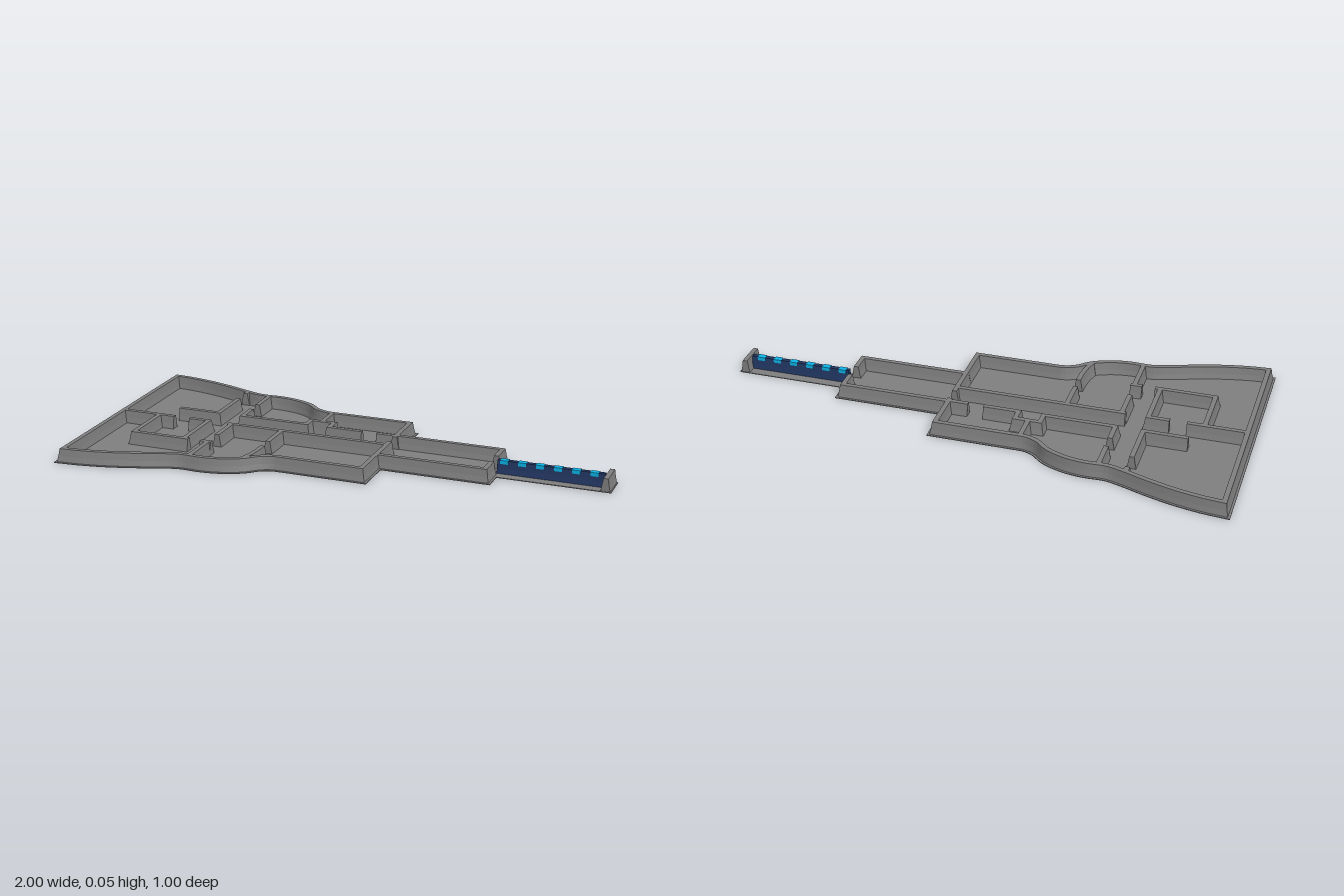
import * as THREE from 'three';

const HEIGHT = 0.052;
const FLOOR = 0.003;

// Mitred sideways direction at every point of a plan path of [x, z] pairs
function sideways(path) {
  const normal = (p, q) => {
    const l = Math.hypot(q[0] - p[0], q[1] - p[1]);
    return [(q[1] - p[1]) / l, -(q[0] - p[0]) / l];
  };
  return path.map((p, i) => {
    const a = normal(path[Math.max(i - 1, 0)], path[Math.max(i, 1)]);
    const last = path.length - 1;
    const b = normal(path[Math.min(i, last - 1)], path[Math.min(i + 1, last)]);
    const k = 1 + a[0] * b[0] + a[1] * b[1];
    return [(a[0] + b[0]) / k, (a[1] + b[1]) / k];
  });
}

// Tapered wall section: sideways offset and height
const SECTION = [[-0.018, 0.002], [-0.013, 0.024], [-0.009, HEIGHT], [0.009, HEIGHT], [0.013, 0.024], [0.018, 0.002]];

// Sweep the wall section along a path and cap both ends
function wallGeometry(path) {
  const side = sideways(path);
  const m = SECTION.length;
  const pos = [], idx = [];
  path.forEach((p, i) => SECTION.forEach(([o, y]) =>
    pos.push(p[0] + side[i][0] * o, y, p[1] + side[i][1] * o)));
  for (let i = 0; i < path.length - 1; i++) {
    for (let j = 0; j < m - 1; j++) {
      const a = i * m + j, b = a + 1, c = a + m, d = c + 1;
      idx.push(a, c, b, b, c, d);
    }
  }
  const e = (path.length - 1) * m;
  for (let j = 1; j < m - 1; j++) idx.push(0, j, j + 1, e, e + j + 1, e + j);
  const indexed = new THREE.BufferGeometry();
  indexed.setAttribute('position', new THREE.Float32BufferAttribute(pos, 3));
  indexed.setIndex(idx);
  const g = indexed.toNonIndexed();
  g.computeVertexNormals();
  return g;
}

export function createModel() {
  const model = new THREE.Group();
  const stone = new THREE.MeshStandardMaterial({ color: 0x808080 });
  stone.name = 'stone grey';
  const navy = new THREE.MeshStandardMaterial({ color: 0x203560 });
  navy.name = 'navy blue';
  const cyan = new THREE.MeshStandardMaterial({ color: 0x0cb4e8 });
  cyan.name = 'bright cyan';

  const add = (name, geometry, material, parent = model) => {
    const mesh = new THREE.Mesh(geometry, material);
    mesh.name = name;
    parent.add(mesh);
    return mesh;
  };

  // Half of the outer wall, then its mirror image
  const curve = new THREE.CatmullRomCurve3([
    [-0.17, -0.262], [-0.215, -0.264], [-0.26, -0.282], [-0.31, -0.325], [-0.38, -0.355],
    [-0.45, -0.367], [-0.54, -0.366], [-0.6, -0.382], [-0.7, -0.417], [-0.8, -0.446],
    [-0.9, -0.465], [-0.972, -0.472],
  ].map(([x, z]) => new THREE.Vector3(x, 0, z)));
  const half = [[0.55, -0.03], [0.55, -0.108], [0.132, -0.108], [0.132, -0.262],
    ...curve.getSpacedPoints(48).map(v => [v.x, v.z])];
  const outer = [...half, ...half.map(([x, z]) => [x, -z]).reverse()];
  add('outerWall', wallGeometry(outer), stone);

  // Floor reaching a little beyond the outer wall
  const side = sideways(outer);
  const outline = outer.map((p, i) =>
    new THREE.Vector2(p[0] - side[i][0] * 0.026, -(p[1] - side[i][1] * 0.026)));
  const floor = new THREE.ExtrudeGeometry(new THREE.Shape(outline), { depth: FLOOR, bevelEnabled: false });
  floor.rotateX(-Math.PI / 2);
  add('floor', floor, stone);

  // Room walls, broken by doorways
  const rooms = new THREE.Group();
  rooms.name = 'roomWalls';
  model.add(rooms);
  [
    // back rooms
    [[-0.608, -0.385], [-0.608, -0.355]],
    [[-0.608, -0.29], [-0.608, -0.105], [-0.775, -0.105]],
    [[-0.505, -0.365], [-0.505, -0.245]],
    [[-0.505, -0.19], [-0.505, -0.105], [-0.235, -0.105], [-0.235, -0.155],
      [-0.14, -0.155], [-0.14, -0.105], [-0.005, -0.105]],
    [[-0.19, -0.262], [-0.19, -0.155]],
    [[0.055, -0.105], [0.132, -0.105], [0.132, -0.088]],
    // central passage
    [[-0.972, -0.005], [-0.75, -0.005]],
    [[-0.52, -0.002], [0.132, -0.002]],
    [[0.132, -0.035], [0.132, 0.115]],
    // inner chamber
    [[-0.685, -0.005], [-0.605, -0.005], [-0.605, 0.208]],
    [[-0.815, -0.005], [-0.815, 0.208], [-0.585, 0.208]],
    [[-0.535, 0.208], [-0.49, 0.208]],
    // front rooms
    [[-0.505, 0], [-0.505, 0.13]],
    [[-0.505, 0.2], [-0.505, 0.365]],
    [[-0.295, 0], [-0.295, 0.13]],
    [[-0.293, 0.18], [-0.294, 0.23], [-0.3, 0.28], [-0.312, 0.32]],
  ].forEach(path => add('roomWall', wallGeometry(path), stone, rooms));

  // Narrow walkway and its end wall
  const bridge = new THREE.BoxGeometry(0.424, FLOOR, 0.11);
  bridge.translate(0.788, FLOOR / 2, 0);
  add('walkway', bridge, stone);
  add('endWall', wallGeometry([[0.978, -0.052], [0.978, 0.052]]), stone);

  // Glowing barrier along the walkway
  add('barrier', wallGeometry([[0.566, 0], [0.966, 0]]), navy);
  for (let i = 0; i < 6; i++) {
    const mark = new THREE.BoxGeometry(0.03, 0.014, 0.024);
    mark.translate(0.592 + i * 0.067, HEIGHT - 0.006, 0);
    add('barrierLight', mark, cyan);
  }
  return model;
}
